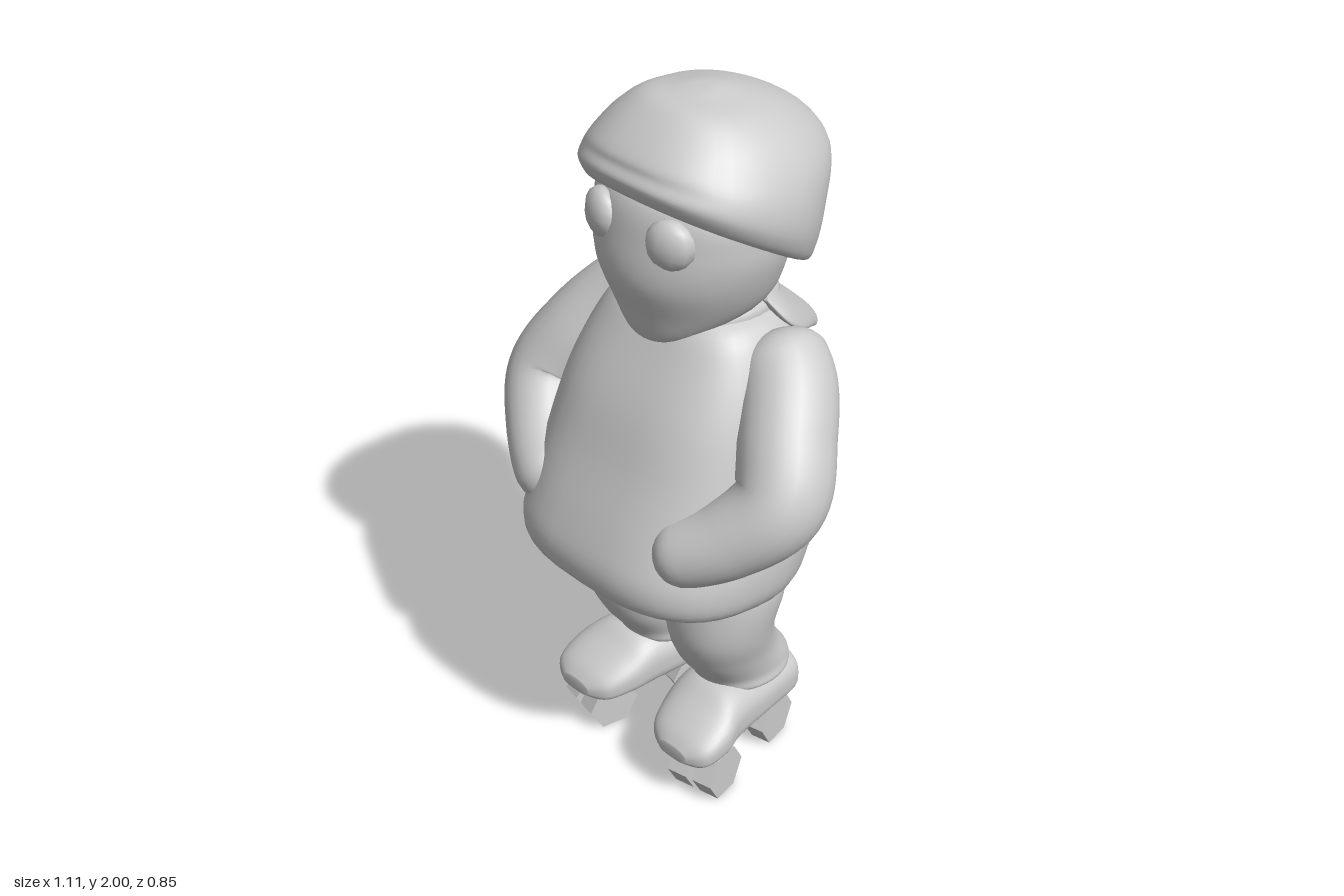
import * as THREE from 'three';

const material = new THREE.MeshStandardMaterial({ color: 0xcccccc });

// Catmull-Rom blend of rows of numbers, t from 0 to 1
function blend(rows, t) {
  const n = rows.length - 1;
  const i = Math.min(Math.floor(t * n), n - 1), f = t * n - i;
  const [a, b, c, d] = [i - 1, i, i + 1, i + 2].map(k => rows[Math.min(Math.max(k, 0), n)]);
  return b.map((_, k) => b[k] + 0.5 * f * (c[k] - a[k]
    + f * (2 * a[k] - 5 * b[k] + 4 * c[k] - d[k] + f * (3 * (b[k] - c[k]) + d[k] - a[k]))));
}

// Closed smooth loft upward through rows of [y, centreX, centreZ, halfX, halfZ, tilt, skew];
// back and front set how square the -z and +z halves of each section are (1 is round)
function loft(shortRows, { back = 1, front = back, bend = 0, around = 40, steps = 40 } = {}) {
  const rows = shortRows.map(r => [...r, 0, 0].slice(0, 7));
  const pos = [], index = [];
  for (let i = 0; i <= steps; i++) {
    const [y, cx, cz, hx, hz, tilt, skew] = blend(rows, i / steps);
    for (let j = 0; j < around; j++) {
      const a = j / around * Math.PI * 2;
      const power = Math.sin(a) > 0 ? front : back;
      const soft = v => Math.sign(v) * Math.abs(v) ** power;
      const s = soft(Math.sin(a)), x = hx * soft(Math.cos(a));
      pos.push(cx + x - skew * Math.max(0, -s), y + tilt * s, cz + hz * s + bend * x * x);
      if (i < steps) {
        const p = i * around + j, q = i * around + (j + 1) % around;
        index.push(p, p + around, q, q, p + around, q + around);
      }
    }
  }
  // End caps
  const low = pos.length / 3, high = low + 1, last = steps * around;
  const first = rows[0], end = rows[rows.length - 1];
  pos.push(first[1], first[0], first[2], end[1], end[0], end[2]);
  for (let j = 0; j < around; j++) {
    const k = (j + 1) % around;
    index.push(low, j, k, high, last + k, last + j);
  }
  const g = new THREE.BufferGeometry();
  g.setAttribute('position', new THREE.Float32BufferAttribute(pos, 3));
  g.setIndex(index);
  g.computeVertexNormals();
  return g;
}

// Tube whose radius follows the fourth number of each [x, y, z, radius] row, with rounded ends
function limb(rows, steps = 56, around = 24) {
  const curve = new THREE.CatmullRomCurve3(rows.map(r => new THREE.Vector3(r[0], r[1], r[2])));
  const g = new THREE.TubeGeometry(curve, steps, 1, around);
  const p = g.attributes.position, v = new THREE.Vector3();
  for (let i = 0; i <= steps; i++) {
    const t = i / steps, c = curve.getPointAt(t);
    const e = Math.min(1, Math.min(t, 1 - t) / 0.1);
    const r = blend(rows.map(q => [q[3]]), t)[0] * Math.sqrt(1 - (1 - e) ** 2);
    for (let j = 0; j <= around; j++) {
      const k = i * (around + 1) + j;
      v.fromBufferAttribute(p, k).sub(c).multiplyScalar(Math.max(r, 0.001)).add(c);
      p.setXYZ(k, v.x, v.y, v.z);
    }
  }
  g.computeVertexNormals();
  // Join the normals along the seam
  const n = g.attributes.normal;
  for (let i = 0; i <= steps; i++) {
    const a = i * (around + 1), b = a + around;
    v.fromBufferAttribute(n, a).add(new THREE.Vector3().fromBufferAttribute(n, b)).normalize();
    n.setXYZ(a, v.x, v.y, v.z);
    n.setXYZ(b, v.x, v.y, v.z);
  }
  return g;
}

export function createModel() {
  const model = new THREE.Group();
  model.name = 'skater';
  const add = (name, geometry, parent = model) => {
    const mesh = new THREE.Mesh(geometry, material);
    mesh.name = name;
    parent.add(mesh);
    return mesh;
  };

  // Baggy sweater body
  add('torso', loft([
    [0.66, 0, 0.08, 0.2, 0.16, 0.03], [0.645, 0, 0.095, 0.31, 0.26, 0.05],
    [0.69, 0, 0.095, 0.365, 0.315, 0.035], [0.78, 0, 0.075, 0.38, 0.348, 0.02],
    [0.90, 0, 0.025, 0.37, 0.365], [1.05, 0, -0.025, 0.365, 0.348],
    [1.20, 0, -0.04, 0.335, 0.30], [1.33, 0, -0.035, 0.285, 0.22],
    [1.42, 0, -0.03, 0.22, 0.155], [1.46, 0, -0.03, 0.1, 0.09],
  ], { back: 0.86, front: 0.72 }));

  // Head and chin
  add('head', loft([
    [1.36, 0, 0.125, 0.03, 0.03], [1.385, 0, 0.09, 0.11, 0.09], [1.46, 0, 0.005, 0.2, 0.2],
    [1.56, 0, 0, 0.25, 0.235], [1.66, 0, 0, 0.27, 0.226], [1.76, 0, 0, 0.25, 0.195], [1.82, 0, 0, 0.12, 0.12],
  ]));

  // Beanie, tilted up at the brow and bulging at the back
  add('hat', loft([
    [1.69, 0, -0.03, 0.2, 0.2, 0.14], [1.635, 0, -0.035, 0.268, 0.25, 0.15],
    [1.685, 0, -0.035, 0.305, 0.275, 0.145, 0.01], [1.755, 0, -0.06, 0.308, 0.285, 0.105, 0.02],
    [1.83, 0, -0.10, 0.283, 0.313, 0.06, 0.05], [1.90, 0, -0.11, 0.235, 0.265, 0.045, 0.05],
    [1.96, 0, -0.08, 0.16, 0.175, 0.025, 0.02], [1.992, 0, -0.03, 0.06, 0.07], [1.997, 0, -0.02, 0.01, 0.01],
  ], { back: 0.95, front: 0.84 }));

  // Hood hanging down the back, and its collar
  const hood = add('hood', loft([
    [0, 0, 0, 0.03, 0.01], [0.025, 0, 0, 0.08, 0.03], [0.13, 0, 0, 0.15, 0.035],
    [0.27, 0, 0, 0.23, 0.034], [0.37, 0, 0, 0.25, 0.034], [0.43, 0, 0, 0.2, 0.02],
  ], { bend: 0.9 }));
  hood.position.set(0, 1.205, -0.415);
  hood.rotation.x = 0.84;
  const collar = add('collar', new THREE.TorusGeometry(0.165, 0.035, 12, 36));
  collar.position.set(0, 1.43, -0.04);
  collar.rotation.x = Math.PI / 2;

  for (const s of [1, -1]) {
    const side = s > 0 ? 'left' : 'right';

    // Eye
    const eye = add(side + 'Eye', new THREE.SphereGeometry(0.068, 10, 8));
    eye.scale.z = 0.6;
    eye.rotation.y = s * 0.35;
    eye.position.set(s * 0.122, 1.688, 0.188);

    // Arm bent with the hand in the front pocket
    add(side + 'Arm', limb([
      [s * 0.2, 1.36, -0.09, 0.115], [s * 0.295, 1.285, -0.05, 0.127], [s * 0.375, 1.18, 0.03, 0.128],
      [s * 0.432, 1.05, 0.115, 0.125], [s * 0.36, 0.955, 0.205, 0.112],
      [s * 0.265, 0.895, 0.275, 0.1], [s * 0.19, 0.865, 0.305, 0.09],
    ]));

    // Trouser leg
    add(side + 'Leg', loft([
      [0.26, s * 0.15, -0.05, 0.07, 0.08], [0.28, s * 0.15, -0.05, 0.12, 0.135], [0.32, s * 0.15, -0.04, 0.12, 0.148],
      [0.40, s * 0.155, 0.015, 0.128, 0.148], [0.50, s * 0.167, 0.05, 0.142, 0.15],
      [0.62, s * 0.17, 0.035, 0.155, 0.165], [0.72, s * 0.17, 0.04, 0.14, 0.14],
    ], { back: 0.95 }));

    // Shoe, lofted from heel to toe with a flat sole
    const shoe = add(side + 'Shoe', loft([
      [-0.205, s * 0.15, -0.2, 0.05, 0.04], [-0.185, s * 0.15, -0.21, 0.095, 0.07],
      [-0.05, s * 0.155, -0.217, 0.114, 0.08], [0.08, s * 0.17, -0.224, 0.12, 0.086],
      [0.16, s * 0.187, -0.205, 0.126, 0.067], [0.235, s * 0.198, -0.182, 0.105, 0.045],
      [0.27, s * 0.2, -0.172, 0.05, 0.02],
    ], { back: 0.88, front: 0.6 }));
    shoe.rotation.x = Math.PI / 2;

    // Two pairs of six-sided wheels turned with the toes
    for (const [end, x, z] of [['Front', 0.215, 0.155], ['Rear', 0.152, -0.115]]) {
      const pair = new THREE.Group();
      pair.name = side + end + 'Wheels';
      pair.position.set(s * x, 0.069, z);
      pair.rotation.y = s * 0.2;
      model.add(pair);
      for (const o of [-1, 1]) {
        const hexagon = new THREE.CylinderGeometry(0.079, 0.079, 0.06, 6).toNonIndexed();
        hexagon.computeVertexNormals();
        const wheel = add('wheel', hexagon, pair);
        wheel.rotation.z = Math.PI / 2;
        wheel.position.x = o * 0.041;
      }
      // Axle between the wheels
      const axle = add('axle', new THREE.CylinderGeometry(0.02, 0.02, 0.1, 8), pair);
      axle.rotation.z = Math.PI / 2;
    }
  }
  return model;
}
